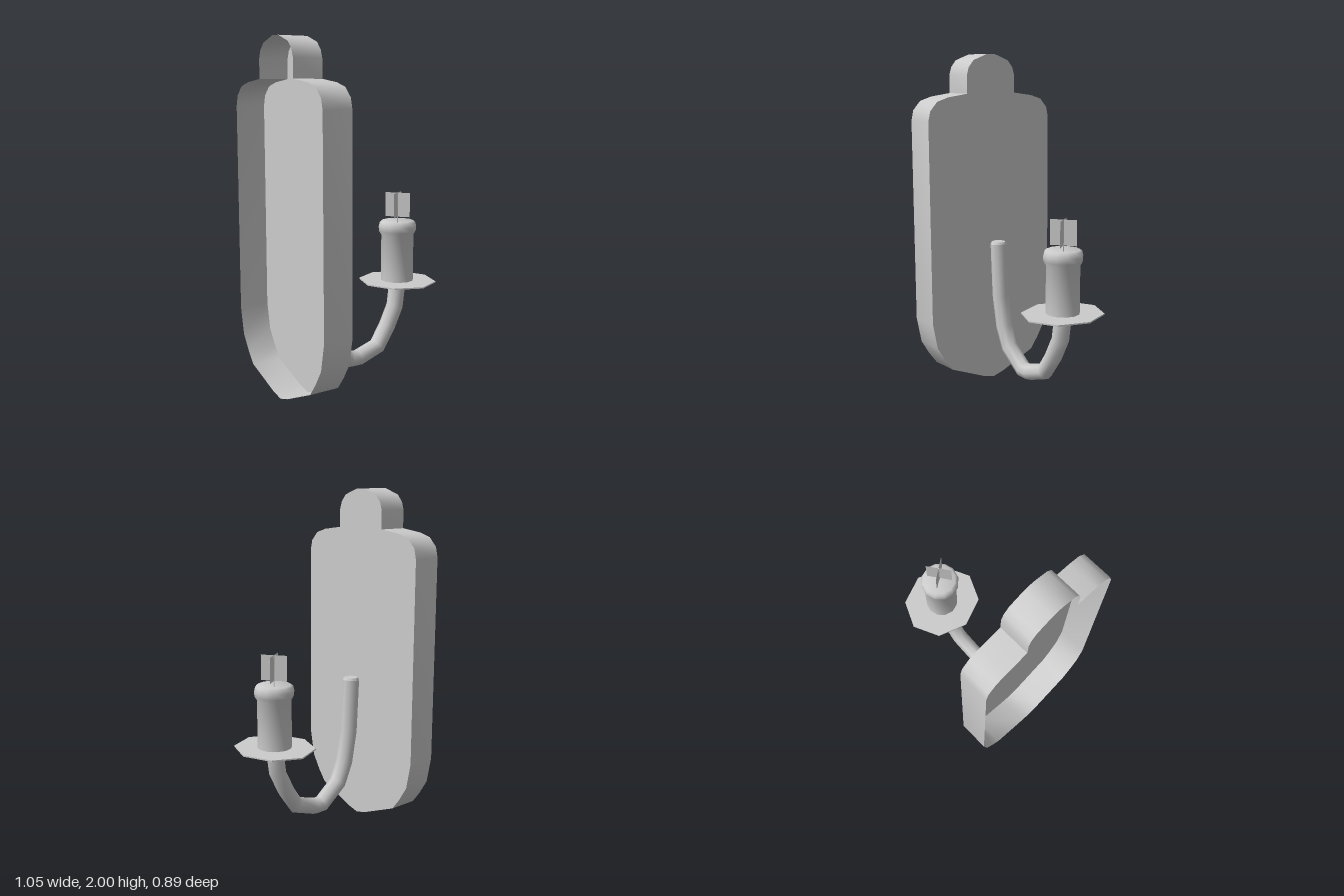
import * as THREE from 'three';
import { toCreasedNormals } from 'three/addons/utils/BufferGeometryUtils.js';

const material = new THREE.MeshStandardMaterial({ color: 0xcccccc });
const thinMaterial = new THREE.MeshStandardMaterial({ color: 0xcccccc, side: THREE.DoubleSide });

const FRONT_X = -0.35, BACK_X = -0.53, CANDLE_X = 0.303;

function add(parent, name, geometry, mat = material) {
  const mesh = new THREE.Mesh(geometry, mat);
  mesh.name = name;
  parent.add(mesh);
  return mesh;
}

const lathe = (points, sides, crease) => toCreasedNormals(
  new THREE.LatheGeometry(points.map(([r, y]) => new THREE.Vector2(r, y)), sides), crease);

// Wall plate: a face with a rim folded back, open towards the wall
function createPlate() {
  const plate = new THREE.Group();
  plate.name = 'wallPlate';

  // Half outline as [z, y], bottom to top
  const half = [
    [0.075, 0.02], [0.308, 0.117], [0.36, 0.186], [0.414, 0.275], [0.444, 0.43],
    [0.444, 1.62], [0.43, 1.68], [0.382, 1.732], [0.308, 1.755], [0.174, 1.773],
    [0.174, 1.88], [0.16, 1.925], [0.126, 1.965], [0.03, 2],
  ];
  const outline = [[0, 0], ...half, ...half.map(([z, y]) => [-z, y]).reverse()]
    .map(([z, y]) => new THREE.Vector2(z, y));

  const face = new THREE.ShapeGeometry(new THREE.Shape(outline));
  face.rotateY(Math.PI / 2).translate(FRONT_X, 0, 0);
  add(plate, 'plateFace', face, thinMaterial);

  // Strip wrapped around the outline
  const n = outline.length;
  const rim = new THREE.PlaneGeometry(1, 1, n, 1);
  const pos = rim.attributes.position;
  for (let i = 0; i < pos.count; i++) {
    const p = outline[(i % (n + 1)) % n];
    pos.setXYZ(i, i <= n ? FRONT_X : BACK_X, p.y, -p.x);
  }
  add(plate, 'plateRim', toCreasedNormals(rim, 0.75), thinMaterial);
  return plate;
}

// Curved arm: an eight-sided tube with one ring at each path point
function createArm() {
  const arm = new THREE.Group();
  arm.name = 'arm';
  const path = [
    [-0.286, 0.87], [-0.27, 0.55], [-0.235, 0.36], [-0.183, 0.24], [-0.05, 0.135],
    [0.01, 0.135], [0.15, 0.18], [0.225, 0.29], [0.285, 0.41], [0.303, 0.54],
  ].map(([x, y]) => new THREE.Vector3(x, y, 0));
  const curve = new THREE.CatmullRomCurve3(path);
  curve.getPointAt = curve.getPoint;
  curve.getTangentAt = curve.getTangent;
  add(arm, 'armTube', new THREE.TubeGeometry(curve, path.length - 1, 0.05, 8), thinMaterial);

  const cap = add(arm, 'armEndCap', new THREE.CylinderGeometry(0.042, 0.05, 0.015, 8));
  cap.position.set(-0.286, 0.877, 0);
  return arm;
}

// Drip dish, candle and crossed flame cards
function createCandle() {
  const candle = new THREE.Group();
  candle.name = 'candleHolder';
  candle.position.x = CANDLE_X;

  const dish = add(candle, 'dripDish',
    lathe([[0, 0.525], [0.04, 0.528], [0.246, 0.562], [0.246, 0.57], [0, 0.572]], 8, 0.4));
  dish.scale.x = 0.9;

  add(candle, 'candle', lathe([
    [0.098, 0.57], [0.098, 0.85], [0.112, 0.872], [0.114, 0.9],
    [0.108, 0.925], [0.095, 0.935], [0, 0.922],
  ], 12, 0.9));

  const wick = add(candle, 'wick', new THREE.CylinderGeometry(0.003, 0.003, 0.18, 5));
  wick.position.y = 1.01;

  for (const turn of [0, Math.PI / 2]) {
    const card = add(candle, 'flameCard', new THREE.PlaneGeometry(0.152, 0.146), thinMaterial);
    card.position.y = 1.03;
    card.rotation.y = 0.61 + turn;
  }
  return candle;
}

export function createModel() {
  const model = new THREE.Group();
  model.name = 'wallSconce';
  model.add(createPlate(), createArm(), createCandle());
  return model;
}
